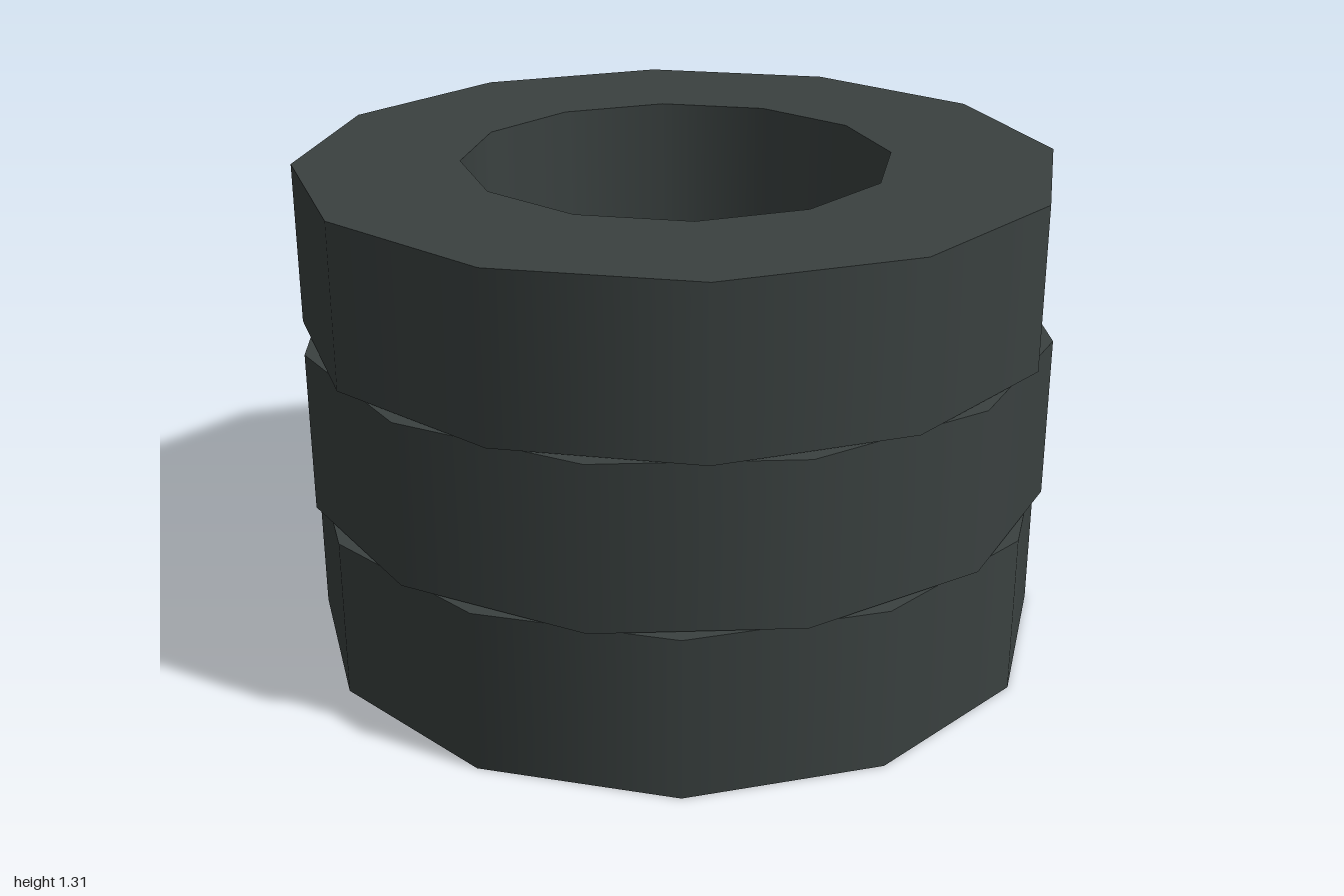
import * as THREE from 'three';

const SIDES = 12, OUTER = 1, INNER = 0.565, HEIGHT = 0.432, PITCH = 0.437;

export function createModel() {
  const model = new THREE.Group();
  model.name = 'stackedRings';

  const rubber = new THREE.MeshStandardMaterial({ color: 0x3a4140 });
  rubber.name = 'dark rubber';
  rubber.side = THREE.DoubleSide; // thin shells, open underneath

  const wall = (radius) =>
    new THREE.CylinderGeometry(radius, radius, HEIGHT, SIDES, 1, true).translate(0, HEIGHT / 2, 0);
  const cap = new THREE.RingGeometry(INNER, OUTER, SIDES, 1)
    .rotateX(-Math.PI / 2)
    .translate(0, HEIGHT, 0);
  const parts = { outerWall: wall(OUTER), innerWall: wall(INNER), topFace: cap };

  // Three hollow rings, each twisted a little from the one below
  const twists = [0, 12.7, 26.4];
  ['bottomRing', 'middleRing', 'topRing'].forEach((name, i) => {
    const ring = new THREE.Group();
    ring.name = name;
    for (const [part, geometry] of Object.entries(parts)) {
      const mesh = new THREE.Mesh(geometry, rubber);
      mesh.name = part;
      ring.add(mesh);
    }
    ring.position.y = i * PITCH;
    ring.rotation.y = -THREE.MathUtils.degToRad(twists[i]);
    model.add(ring);
  });

  return model;
}
